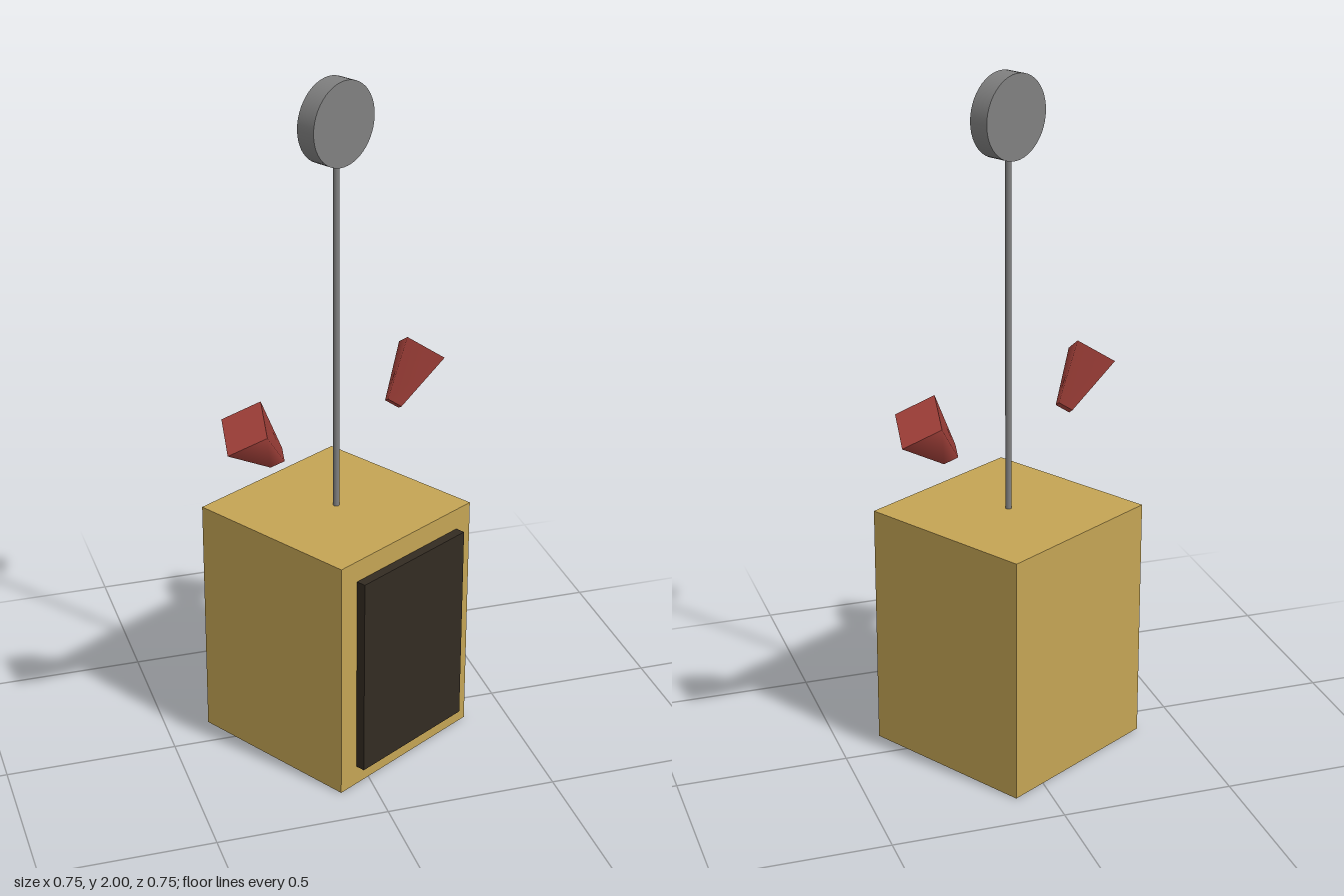
import * as THREE from 'three';

const mat = (color) => new THREE.MeshStandardMaterial({ color });

export function createModel() {
  const model = new THREE.Group();
  model.name = 'boxWithHornsAndSign';
  const ochre = mat(0xc4a454), dark = mat(0x332b22), grey = mat(0x808080), red = mat(0xa8433c);

  function add(name, geometry, material, x, y, z) {
    const mesh = new THREE.Mesh(geometry, material);
    mesh.name = name;
    mesh.position.set(x, y, z);
    model.add(mesh);
    return mesh;
  }

  // Box body with a dark door panel floating just off its front
  add('body', new THREE.BoxGeometry(0.546, 0.73, 0.546), ochre, 0, 0.365, 0);
  add('doorPanel', new THREE.BoxGeometry(0.424, 0.607, 0.029), dark, 0, 0.365, 0.29);

  // Thin pole carrying a round sign
  add('pole', new THREE.CylinderGeometry(0.009, 0.009, 1.05, 16), grey, 0, 1.245, 0);
  const disc = new THREE.CylinderGeometry(0.12, 0.12, 0.06, 48).rotateX(Math.PI / 2);
  add('signDisc', disc, grey, 0, 1.88, 0);

  // Two four-sided horns flaring outwards and upwards
  for (const side of [1, -1]) {
    const horn = new THREE.CylinderGeometry(0.088, 0.032, 0.18, 4);
    const mesh = add(side > 0 ? 'leftHorn' : 'rightHorn', horn, red, side * 0.305, 1.035, 0);
    mesh.rotation.z = -side * 0.75;
  }

  // The whole assembly is turned about the vertical
  model.rotation.y = Math.PI / 6;
  const root = new THREE.Group();
  root.name = 'model';
  root.add(model);
  return root;
}
